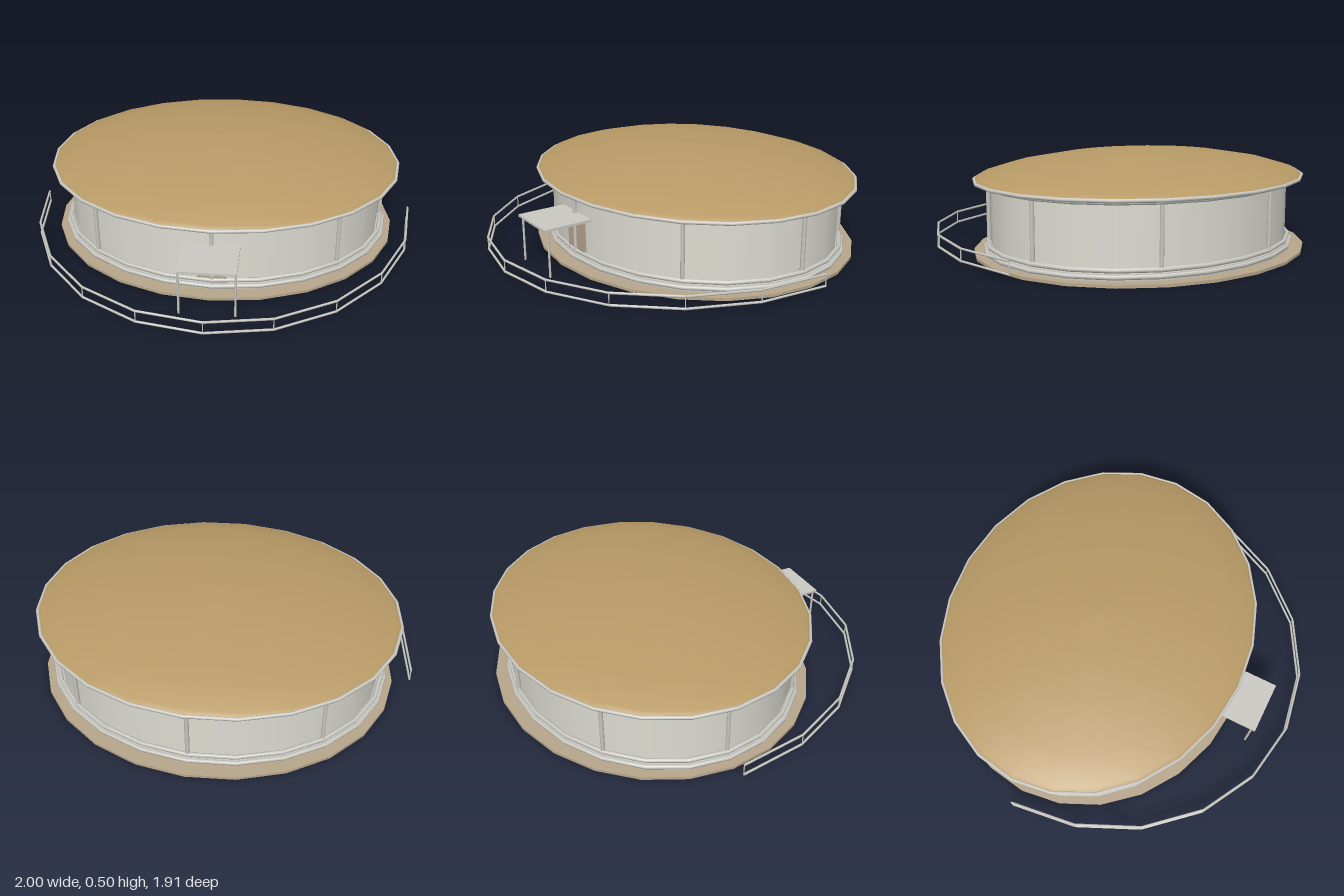
import * as THREE from 'three';

const paint = (name, color, side = THREE.FrontSide) => {
  const m = new THREE.MeshStandardMaterial({ color, side });
  m.name = name;
  return m;
};

export function createModel() {
  const model = new THREE.Group();
  model.name = 'ovalPavilion';

  const wallPaint = paint('wallWhite', 0xdcdcd2, THREE.DoubleSide);
  const trimPaint = paint('trimGrey', 0xcac9c2);
  const roofPaint = paint('roofTan', 0xb89a66, THREE.DoubleSide);
  const basePaint = paint('baseBeige', 0xb8a68c);

  const SIDES = 24;
  const hall = new THREE.Group();
  hall.name = 'hall';
  hall.position.z = -0.15;
  model.add(hall);

  const add = (parent, name, geometry, material, x = 0, y = 0, z = 0) => {
    const mesh = new THREE.Mesh(geometry, material);
    mesh.name = name;
    mesh.position.set(x, y, z);
    parent.add(mesh);
    return mesh;
  };

  // Elliptical drum with radii rx and rz between heights y0 and y1
  const drum = (name, rx, rz, y0, y1, material, open = false) => {
    const g = new THREE.CylinderGeometry(rx, rx, y1 - y0, SIDES, 1, open);
    g.scale(1, 1, rz / rx);
    return add(hall, name, g, material, 0, (y0 + y1) / 2);
  };

  // Elliptical hoop of round bar
  const hoop = (name, rx, rz, y, r) => {
    const g = new THREE.TorusGeometry(rx, r, 8, SIDES);
    g.rotateX(Math.PI / 2);
    g.scale(1, 1, rz / rx);
    return add(hall, name, g, trimPaint, 0, y);
  };

  // Straight round bar from a to b
  const bar = (parent, name, a, b, r) => {
    const d = b.clone().sub(a);
    const mesh = add(parent, name, new THREE.CylinderGeometry(r, r, d.length(), 6), trimPaint);
    mesh.position.copy(a).add(b).multiplyScalar(0.5);
    mesh.quaternion.setFromUnitVectors(new THREE.Vector3(0, 1, 0), d.normalize());
    return mesh;
  };

  // Floor slab, wall and stepped foot
  drum('base', 0.907, 0.805, 0, 0.014, basePaint);
  drum('plinth', 0.862, 0.732, 0.014, 0.045, trimPaint);
  drum('wall', 0.832, 0.708, 0.03, 0.36, wallPaint, true);
  hoop('lowerFootRing', 0.864, 0.735, 0.032, 0.011);
  hoop('upperFootRing', 0.85, 0.722, 0.058, 0.011);
  hoop('wallTopRing', 0.85, 0.722, 0.347, 0.01);

  // Eight wall columns
  for (let i = 0; i < 8; i++) {
    const a = (i * Math.PI) / 4;
    const x = 0.843 * Math.sin(a), z = 0.718 * Math.cos(a);
    bar(hall, 'wallColumn', new THREE.Vector3(x, 0.06, z), new THREE.Vector3(x, 0.35, z), 0.011);
  }

  // Shallow domed roof with rim
  const profile = [[0.915, 0.366], [0.89, 0.386], [0.74, 0.427], [0.49, 0.466], [0.25, 0.488], [0, 0.497]]
    .map(([x, y]) => new THREE.Vector2(x, y));
  const dome = new THREE.LatheGeometry(profile, SIDES);
  dome.scale(1, 1, 0.785 / 0.915);
  add(hall, 'roof', dome, roofPaint);
  hoop('roofRim', 0.913, 0.783, 0.365, 0.009);

  // Entrance door and canopy
  add(model, 'door', new THREE.BoxGeometry(0.14, 0.19, 0.02), basePaint, 0, 0.155, 0.558);
  add(model, 'canopy', new THREE.BoxGeometry(0.27, 0.012, 0.25), trimPaint, 0, 0.25, 0.678);
  for (const s of [-1, 1]) {
    bar(model, 'canopyPost', new THREE.Vector3(s * 0.13, 0.015, 0.782),
      new THREE.Vector3(s * 0.13, 0.246, 0.782), 0.006);
  }

  // Half-oval railing around the front
  const railing = new THREE.Group();
  railing.name = 'railing';
  railing.position.z = -0.15;
  model.add(railing);
  const railPoint = (i, y) => {
    const a = -Math.PI / 2 + (i * Math.PI) / 10;
    return new THREE.Vector3(0.993 * Math.sin(a), y, 1.1 * Math.cos(a));
  };
  for (let i = 0; i <= 10; i++) {
    bar(railing, 'railPost', railPoint(i, 0.042), railPoint(i, 0.1), 0.003);
    if (i === 10) continue;
    for (const y of [0.042, 0.1]) bar(railing, 'rail', railPoint(i, y), railPoint(i + 1, y), 0.006);
  }

  return model;
}
